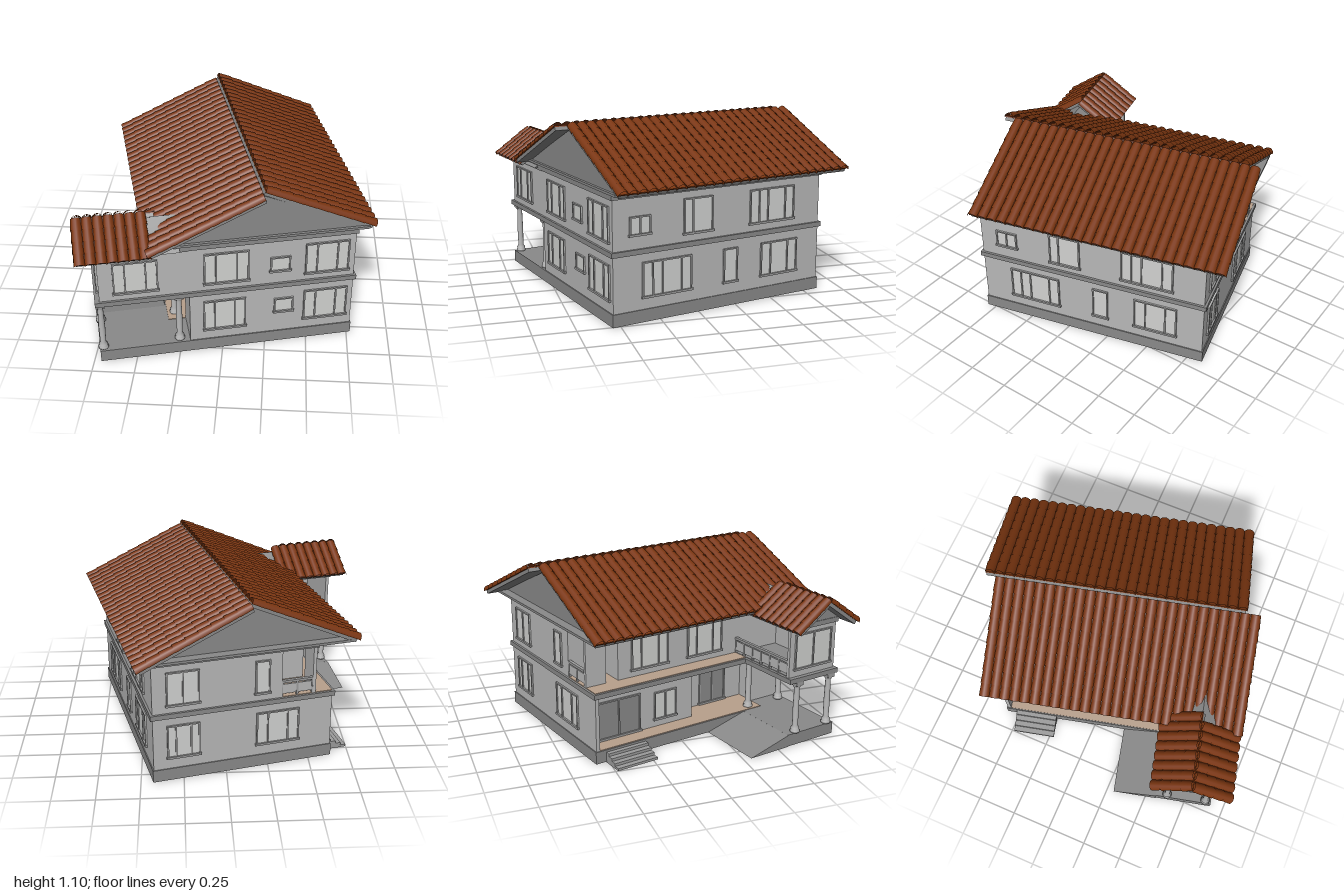
import * as THREE from 'three';
import { mergeGeometries } from 'three/addons/utils/BufferGeometryUtils.js';

const mat = (name, color) => {
  const m = new THREE.MeshStandardMaterial({ color });
  m.name = name;
  return m;
};

export function createModel() {
  const wall = mat('wall grey', 0xb8b8b8);
  const trim = mat('trim grey', 0x8a8a8a);
  const frame = mat('frame grey', 0x9c9c9c);
  const glass = mat('pale glass', 0xd2d3d1);
  const tan = mat('terrace tan', 0xb8a08c);
  const tile = mat('roof tile brown', 0x7a3510);
  tile.side = THREE.DoubleSide;

  const model = new THREE.Group();
  const house = new THREE.Group();
  house.name = 'house';
  house.rotation.y = 0.242;
  model.add(house);

  const add = (name, geo, material, parent = house) => {
    const m = new THREE.Mesh(geo, material);
    m.name = name;
    parent.add(m);
    return m;
  };
  // box given by its limits
  const box = (name, x0, x1, y0, y1, z0, z1, material, parent) => {
    const g = new THREE.BoxGeometry(x1 - x0, y1 - y0, z1 - z0);
    g.translate((x0 + x1) / 2, (y0 + y1) / 2, (z0 + z1) / 2);
    return add(name, g, material, parent);
  };
  // floor plan [x, z] raised from y0 to y1
  const plan = (name, pts, y0, y1, material) => {
    const s = new THREE.Shape(pts.map(([x, z]) => new THREE.Vector2(x, -z)));
    const g = new THREE.ExtrudeGeometry(s, { depth: y1 - y0, bevelEnabled: false });
    g.rotateX(-Math.PI / 2).translate(0, y0, 0);
    return add(name, g, material);
  };
  // profile [z, y] stretched along x
  const alongX = (name, pts, x0, x1, material) => {
    const s = new THREE.Shape(pts.map(([z, y]) => new THREE.Vector2(-z, y)));
    const g = new THREE.ExtrudeGeometry(s, { depth: x1 - x0, bevelEnabled: false });
    g.rotateY(Math.PI / 2).translate(x0, 0, 0);
    return add(name, g, material);
  };

  // plinth, porch floor and ramp
  const footprint = (o) => [
    [0.612 + o, 0.713 + o], [-0.9 - o, 0.713 + o], [-0.9 - o, 0.365 - o],
    [-0.475 - o, 0.365 - o], [-0.475 - o, -0.713 - o], [0.612 + o, -0.713 - o]];
  plan('plinth', footprint(0.006), 0.005, 0.08, trim);
  alongX('ramp', [[0.36, 0.005], [0.36, 0.08], [0.08, 0.005]], -0.91, -0.481, trim);
  plan('verandaFloor', [[-0.25, 0.5], [-0.475, 0.5], [-0.475, -0.69], [-0.37, -0.69],
    [-0.37, 0.03], [-0.25, 0.03]], 0.08, 0.084, tan);
  for (let i = 0; i < 4; i++)
    box('step', -0.475 - 0.034 * (i + 1), -0.475 - 0.034 * i, 0, 0.066 - 0.017 * i, -0.65, -0.38, frame);

  // ground floor with entrance alcove
  plan('groundFloorWalls', [[0.612, 0.713], [-0.37, 0.713], [-0.37, 0.5], [-0.25, 0.5],
    [-0.25, 0.03], [-0.37, 0.03], [-0.37, -0.69], [-0.475, -0.69], [-0.475, -0.713],
    [0.612, -0.713]], 0.08, 0.41, wall);

  // floor band and balcony floor
  plan('floorBand', footprint(0.014), 0.41, 0.44, trim);
  box('balconyFloor', -0.475, -0.37, 0.44, 0.444, -0.713, 0.365, tan);
  box('loggiaFloor', -0.37, -0.16, 0.44, 0.444, -0.713, -0.5, tan);
  box('porchBalconyFloor', -0.865, -0.37, 0.44, 0.443, 0.37, 0.69, trim);

  // upper floor with porch balcony walls and corner loggia
  plan('upperFloorWalls', [[0.612, 0.713], [-0.887, 0.713], [-0.887, 0.36], [-0.867, 0.36],
    [-0.867, 0.693], [-0.37, 0.693], [-0.37, -0.5], [-0.16, -0.5], [-0.16, -0.713],
    [0.612, -0.713]], 0.44, 0.74, wall);
  box('loggiaPier', -0.37, -0.35, 0.44, 0.74, -0.713, -0.58, wall);

  // eaves: frieze and soffits
  box('frieze', -0.38, 0.622, 0.735, 0.768, -0.723, 0.723, trim);
  box('soffit', -0.57, 0.685, 0.765, 0.78, -0.77, 0.73, trim);
  box('porchFrieze', -0.897, -0.37, 0.732, 0.762, 0.35, 0.723, trim);

  // railings
  const railing = (x0, x1, z) => {
    const g = new THREE.Group();
    g.name = 'railing';
    house.add(g);
    box('handrail', x0, x1, 0.53, 0.545, z - 0.01, z + 0.01, frame, g);
    box('railPanel', x0, x1, 0.46, 0.52, z - 0.004, z + 0.004, wall, g);
    const n = Math.max(2, Math.round((x1 - x0) / 0.08));
    for (let i = 0; i <= n; i++) {
      const x = x0 + ((x1 - x0) * i) / n;
      box('railPost', x - 0.006, x + 0.006, 0.44, 0.53, z - 0.007, z + 0.007, frame, g);
    }
  };
  railing(-0.867, -0.37, 0.37);
  railing(-0.35, -0.16, -0.705);

  // porch columns
  const profile = [[0, 0], [0.03, 0], [0.03, 0.012], [0.024, 0.016], [0.027, 0.028], [0.017, 0.042],
    [0.019, 0.15], [0.016, 0.285], [0.024, 0.3], [0.024, 0.306]].map(([r, y]) => new THREE.Vector2(r, y));
  for (const x of [-0.885, -0.43]) for (const z of [0.43, 0.68]) {
    add('columnShaft', new THREE.LatheGeometry(profile, 16), wall).position.set(x, 0.08, z);
    box('columnCapital', x - 0.026, x + 0.026, 0.385, 0.41, z - 0.026, z + 0.026, frame);
  }

  // windows: frame, panes and mullions, facing out by angle
  const opening = (name, x, z, angle, width, y0, y1, splits) => {
    const g = new THREE.Group();
    g.name = name;
    g.position.set(x, 0, z);
    g.rotation.y = angle;
    house.add(g);
    const h = width / 2, t = 0.009;
    box('pane', -h, h, y0, y1, 0, 0.004, name === 'door' ? trim : glass, g);
    for (const f of [0, ...splits, 1]) {
      const c = -h + t / 2 + f * (width - t);
      box('upright', c - t / 2, c + t / 2, y0, y1, 0, 0.011, frame, g);
    }
    box('head', -h, h, y1 - t, y1, 0, 0.011, frame, g);
    box('sill', -h - 0.006, h + 0.006, y0 - 0.004, y0 + t, 0, 0.015, frame, g);
  };
  const triple = [0.26, 0.74], up = [0.485, 0.695], low = [0.15, 0.36];
  // front
  for (const [a, b, y, s] of [
    [-0.804, -0.547, up, triple], [-0.285, -0.02, up, triple], [0.105, 0.225, [0.525, 0.625], []],
    [0.313, 0.576, up, triple], [-0.29, -0.037, low, triple], [0.133, 0.25, [0.225, 0.325], []],
    [0.313, 0.58, low, triple]])
    opening('frontWindow', (a + b) / 2, 0.713, 0, b - a, ...y, s);
  // left side
  for (const [a, b, y, s] of [
    [0.475, 0.61, [0.52, 0.63], [0.5]], [0.063, 0.26, up, [0.3]], [-0.52, -0.196, up, [0.2, 0.4, 0.8]],
    [0.206, 0.53, low, [0.2, 0.4, 0.8]], [-0.113, -0.013, low, []], [-0.55, -0.28, low, triple]])
    opening('sideWindow', 0.612, (a + b) / 2, Math.PI / 2, b - a, ...y, s);
  // back
  for (const [a, b, y, s] of [
    [0.335, 0.53, up, [0.5]], [-0.085, 0.005, up, []], [0.335, 0.53, low, triple], [-0.27, -0.005, low, triple]])
    opening('backWindow', (a + b) / 2, -0.713, Math.PI, b - a, ...y, s);
  // veranda side
  opening('door', -0.37, -0.5, -Math.PI / 2, 0.3, 0.09, 0.33, [0.5]);
  opening('verandaWindow', -0.37, -0.17, -Math.PI / 2, 0.16, 0.13, 0.31, [0.5]);
  opening('door', -0.25, 0.27, -Math.PI / 2, 0.2, 0.09, 0.34, [0.5]);
  opening('balconyWindow', -0.37, -0.28, -Math.PI / 2, 0.26, ...up, triple);
  opening('balconyWindow', -0.37, 0.12, -Math.PI / 2, 0.26, ...up, triple);
  opening('porchWindow', -0.887, 0.537, -Math.PI / 2, 0.28, 0.485, 0.705, [0.5]);

  // gables
  const gable = new THREE.Shape([[-0.55, 0.78], [0.665, 0.78], [0.057, 1.045]].map((p) => new THREE.Vector2(...p)));
  add('gableWalls', new THREE.ExtrudeGeometry(gable, { depth: 1.426, bevelEnabled: false }), trim)
    .position.z = -0.713;
  alongX('porchGable', [[0.36, 0.745], [0.745, 0.745], [0.555, 0.88]], -0.893, -0.42, trim);

  // tiled slope between the middle of an eave and the middle of a ridge
  const slope = (name, eave, ridge, width, columns, courses) => {
    const P = new THREE.Vector3(...eave), Q = new THREE.Vector3(...ridge);
    const ey = Q.clone().sub(P), length = ey.length();
    ey.normalize();
    const ez = new THREE.Vector3(0, 1, 0).addScaledVector(ey, -ey.y).normalize();
    const ex = ey.clone().cross(ez);
    const g = new THREE.Group();
    g.name = name;
    g.applyMatrix4(new THREE.Matrix4().makeBasis(ex, ey, ez).setPosition(P));
    house.add(g);
    box('roofDeck', -width / 2 + 0.01, width / 2 - 0.01, 0.012, length, -0.022, 0, trim, g);
    box('tileBed', -width / 2 + 0.005, width / 2 - 0.005, 0.006, length, 0, 0.008, tile, g);
    const pitch = width / columns, step = length / courses, tiles = [];
    for (let i = 0; i < columns; i++) for (let j = 0; j < courses; j++) {
      const t = new THREE.CylinderGeometry(pitch * 0.48, pitch * 0.56, step * 1.08, 8, 1, true, -Math.PI / 2, Math.PI);
      t.translate(-width / 2 + (i + 0.5) * pitch, (j + 0.5) * step, 0);
      tiles.push(t);
    }
    add('tiles', mergeGeometries(tiles), tile, g);
  };
  slope('roofLeftSide', [0.717, 0.775, -0.06], [0.066, 1.07, -0.06], 1.575, 26, 9);
  slope('roofRightSide', [-0.602, 0.775, 0.015], [0.049, 1.07, 0.015], 1.585, 26, 9);
  slope('porchRoofFront', [-0.795, 0.745, 0.782], [-0.795, 0.905, 0.553], 0.42, 7, 4);
  slope('porchRoofBack', [-0.765, 0.745, 0.33], [-0.765, 0.905, 0.559], 0.47, 8, 4);

  return model;
}
